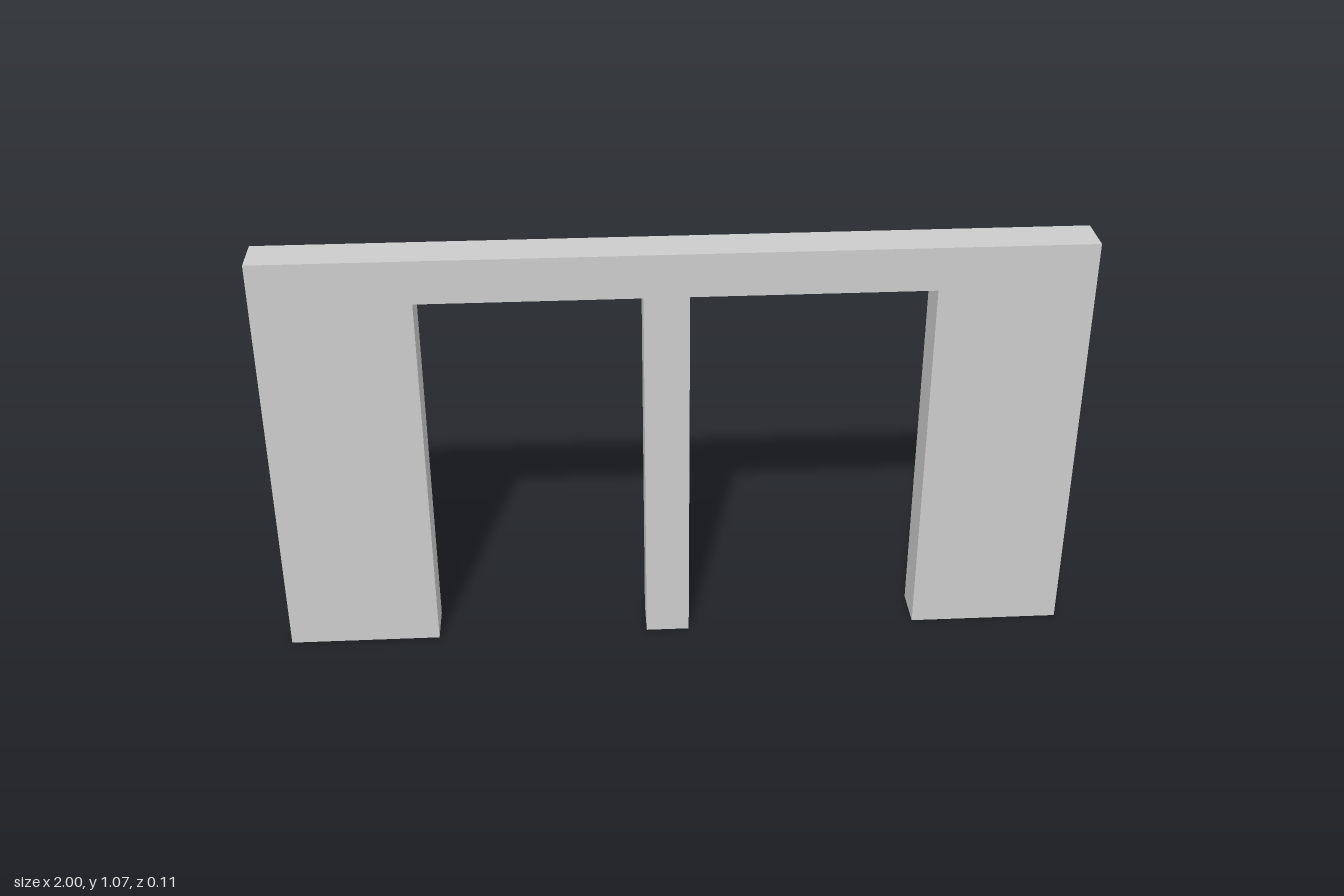
import * as THREE from 'three';

const HEIGHT = 1.07;
const DEPTH = 0.11;
const LINTEL_BOTTOM = 0.96;

export function createModel() {
  const group = new THREE.Group();
  group.name = 'doubleDoorwayWall';
  const material = new THREE.MeshStandardMaterial({ color: 0xcccccc });

  // Wall block spanning x0..x1, from the given base up to the wall top
  const addBlock = (name, x0, x1, base) => {
    const mesh = new THREE.Mesh(new THREE.BoxGeometry(x1 - x0, HEIGHT - base, DEPTH), material);
    mesh.name = name;
    mesh.position.set((x0 + x1) / 2, (HEIGHT + base) / 2, 0);
    group.add(mesh);
  };

  // Wide side piers
  addBlock('rightPier', -1, -0.62, 0);
  addBlock('leftPier', 0.62, 1, 0);

  // Slim post between the doorways, slightly off centre
  addBlock('middlePost', -0.08, 0.03, 0);

  // Lintels over the two doorways
  addBlock('rightLintel', -0.62, -0.08, LINTEL_BOTTOM);
  addBlock('leftLintel', 0.03, 0.62, LINTEL_BOTTOM);

  return group;
}
